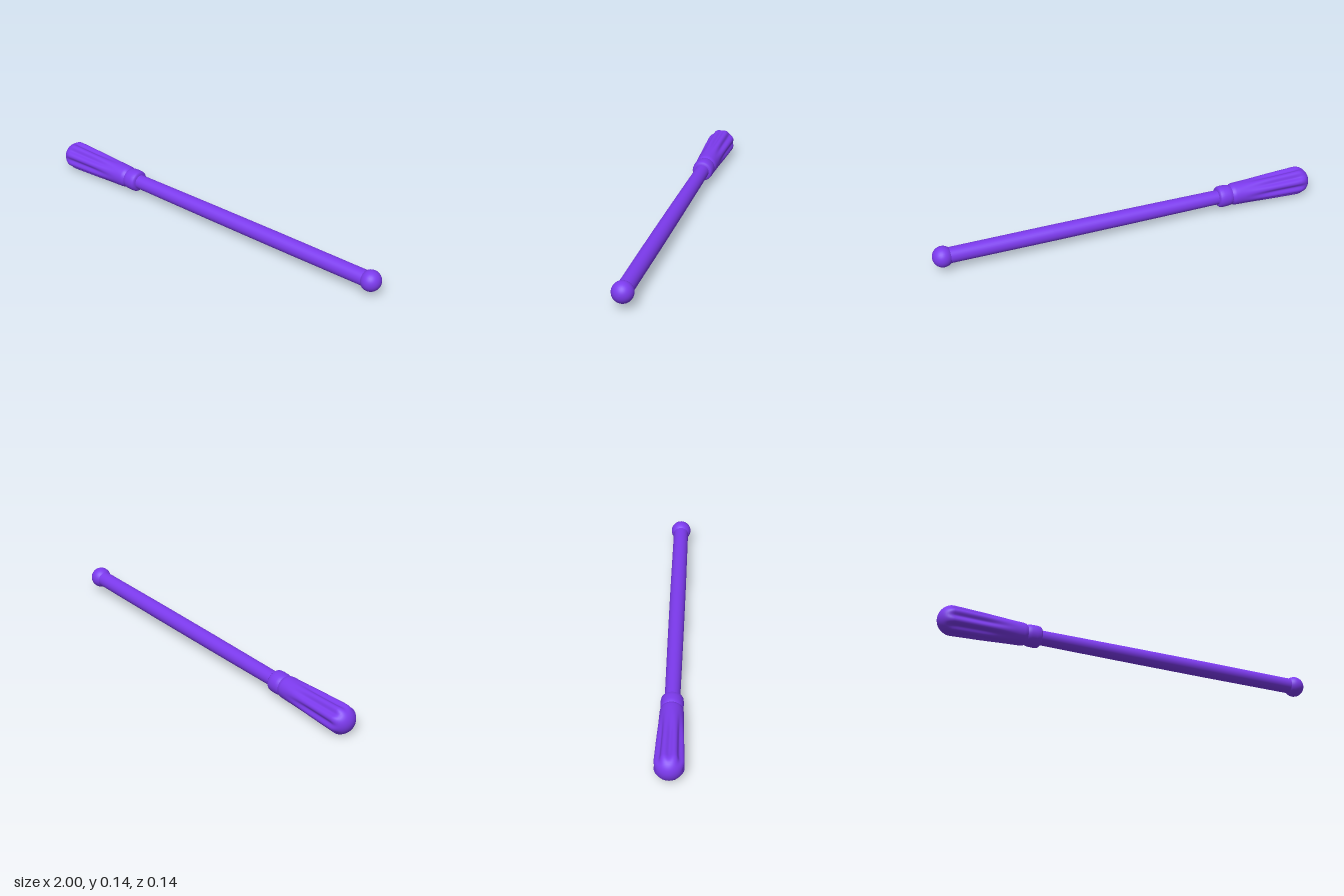
import * as THREE from 'three';
import { mergeVertices } from 'three/addons/utils/BufferGeometryUtils.js';

const material = new THREE.MeshStandardMaterial({ color: 0x7c3aed });
const FLUTES = 8;

// Smooth solid of revolution along the x axis from [x, radius] points
function turned(name, points, segments = 32) {
  const geometry = new THREE.LatheGeometry(points.map(([x, r]) => new THREE.Vector2(r, x)), segments);
  geometry.rotateZ(-Math.PI / 2);
  const mesh = new THREE.Mesh(geometry, material);
  mesh.name = name;
  return mesh;
}

// Points of an arc, swept from angle a to angle b around (cx, 0)
function arc(cx, rx, ry, a, b, n) {
  return Array.from({ length: n + 1 }, (_, i) => {
    const t = a + (b - a) * i / n;
    return [cx - rx * Math.cos(t), Math.max(0, ry * Math.sin(t))];
  });
}

// Carve evenly spaced lengthwise flutes that fade out at both ends
function carveFlutes(mesh) {
  let geometry = mesh.geometry;
  const pos = geometry.attributes.position;
  for (let i = 0; i < pos.count; i++) {
    const x = pos.getX(i), y = pos.getY(i), z = pos.getZ(i);
    const fade = THREE.MathUtils.smoothstep(x, -0.985, -0.92) * (1 - THREE.MathUtils.smoothstep(x, -0.8, -0.6));
    const wave = 0.5 + 0.5 * Math.cos(FLUTES * Math.atan2(z, y));
    const scale = 1 + fade * (0.04 - 0.17 * wave ** 1.3);
    pos.setXYZ(i, x, y * scale, z * scale);
  }
  geometry.deleteAttribute('normal');
  geometry.deleteAttribute('uv');
  geometry = mergeVertices(geometry, 1e-5);
  geometry.computeVertexNormals();
  mesh.geometry = geometry;
}

export function createModel() {
  const group = new THREE.Group();
  group.name = 'baton';

  // Fluted grip: domed butt, then a gentle taper to the neck
  const grip = arc(-0.935, 0.065, 0.07, 0, Math.PI / 2, 10);
  for (let i = 1; i <= 16; i++) grip.push([-0.935 + 0.355 * i / 16, 0.07 - 0.014 * i / 16]);
  grip.push([-0.568, 0.054], [-0.56, 0.048], [-0.55, 0.046]);
  const handle = turned('handle', grip, 96);
  carveFlutes(handle);

  // Rounded collar where the shaft enters the grip
  const collar = turned('collar', [
    [-0.565, 0.044], [-0.555, 0.051], [-0.54, 0.054], [-0.515, 0.055],
    [-0.495, 0.053], [-0.488, 0.047], [-0.486, 0.034],
  ]);

  // Long, very slightly swelling shaft
  const shaft = turned('shaft', [
    [-0.53, 0.036], [-0.3, 0.0375], [0, 0.039], [0.4, 0.04], [0.93, 0.039],
  ]);

  // Ball at the far end
  const tip = turned('ballTip', arc(0.946, 0.051, 0.052, 0, Math.PI, 20));

  // The baton rests on its grip, its far end a touch higher
  group.add(handle, collar, shaft, tip);
  const model = new THREE.Group();
  model.name = 'model';
  group.rotation.z = 0.0055;
  group.position.y = 0.0755;
  model.add(group);
  return model;
}
